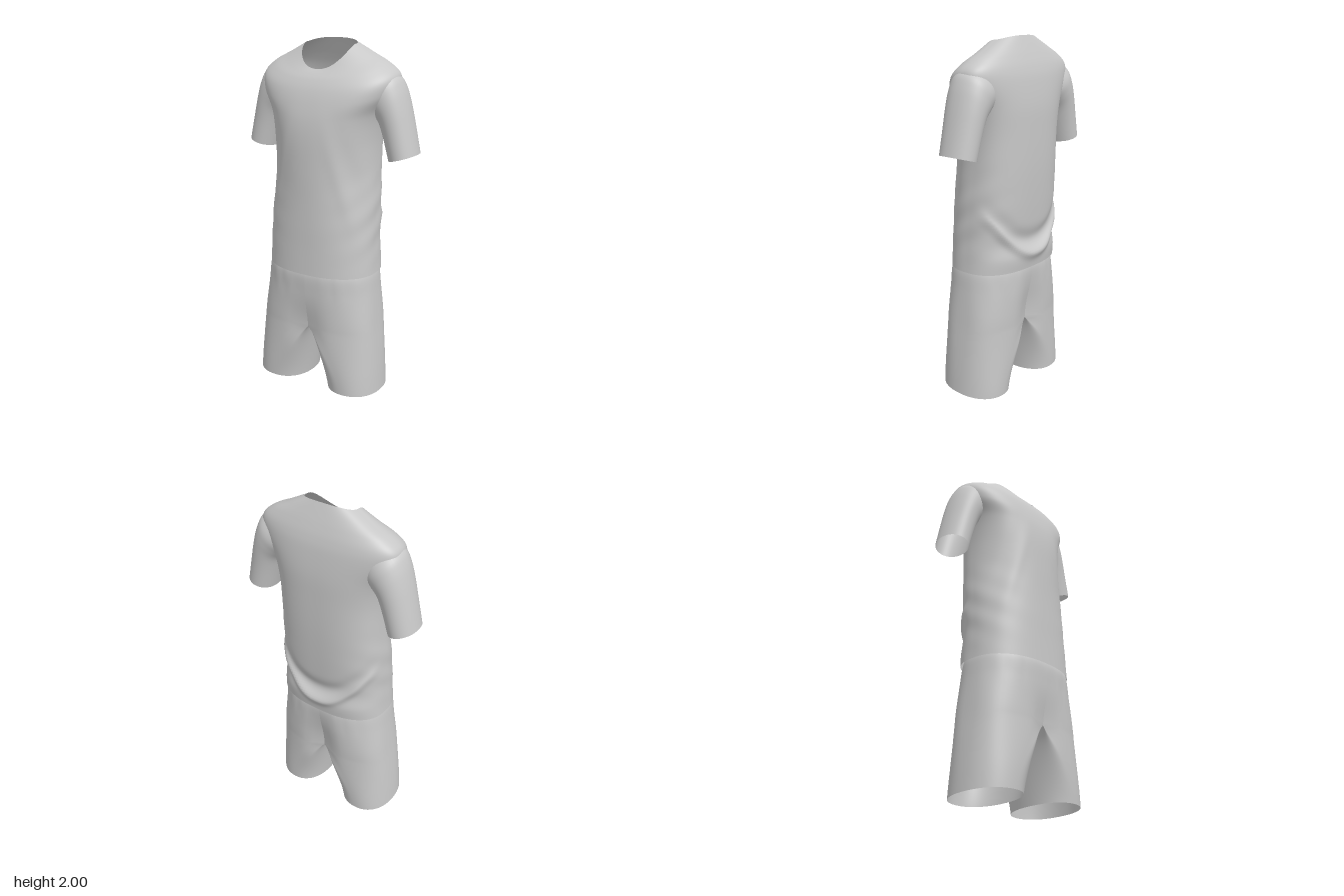
import * as THREE from 'three';

const cloth = new THREE.MeshStandardMaterial({ color: 0xc8c8c8, side: THREE.DoubleSide });
cloth.name = 'light grey cloth';

// Smoothly adds rows between the given cross-section rows
function resample(rows, sub) {
  const out = [];
  const at = (i) => rows[Math.min(Math.max(i, 0), rows.length - 1)];
  for (let i = 0; i < rows.length - 1; i++) {
    for (let s = 0; s < sub; s++) {
      const t = s / sub;
      out.push(rows[i].map((b, k) => {
        const a = at(i - 1)[k], c = at(i + 1)[k], d = at(i + 2)[k];
        return b + 0.5 * t * (c - a + t * (2 * a - 5 * b + 4 * c - d + t * (3 * (b - c) + d - a)));
      }));
    }
  }
  out.push(rows[rows.length - 1]);
  return out;
}

// Closed rings joined bottom to top; side = -1 mirrors the part in x
function loft(name, rows, segments, point, side = 1, skip = () => false) {
  const pos = [], index = [];
  for (const row of rows) {
    for (let j = 0; j < segments; j++) {
      const p = point(row, (j / segments) * Math.PI * 2);
      pos.push(p[0] * side, p[1], p[2]);
    }
  }
  for (let i = 0; i < rows.length - 1; i++) {
    for (let j = 0; j < segments; j++) {
      if (skip(i, j)) continue;
      const k = (j + 1) % segments;
      const a = i * segments + j, b = i * segments + k, c = a + segments, d = b + segments;
      if (side > 0) index.push(a, c, b, b, c, d);
      else index.push(a, b, c, b, d, c);
    }
  }
  const g = new THREE.BufferGeometry();
  g.setAttribute('position', new THREE.Float32BufferAttribute(pos, 3));
  g.setIndex(index);
  g.computeVertexNormals();
  const mesh = new THREE.Mesh(g, cloth);
  mesh.name = name;
  return mesh;
}

const pow = (v, n) => Math.sign(v) * Math.pow(Math.abs(v), 2 / n);
const bell = (d, w) => Math.exp(-(d * d) / (w * w));

// Shirt body: side x, side y, front z, front y, back z, back y, centre z
const bodyRows = [
  [0.33, 0.735, 0.245, 0.735, -0.215, 0.735, 0.01],
  [0.325, 0.81, 0.243, 0.81, -0.222, 0.81, 0.01],
  [0.32, 0.9, 0.241, 0.9, -0.208, 0.9, 0.01],
  [0.317, 1.0, 0.24, 1.0, -0.218, 1.0, 0],
  [0.312, 1.15, 0.238, 1.15, -0.228, 1.15, -0.01],
  [0.302, 1.32, 0.238, 1.32, -0.235, 1.32, -0.03],
  [0.304, 1.5, 0.235, 1.48, -0.236, 1.5, -0.045],
  [0.33, 1.64, 0.224, 1.59, -0.233, 1.64, -0.06],
  [0.39, 1.745, 0.203, 1.68, -0.218, 1.77, -0.07],
  [0.4, 1.825, 0.178, 1.75, -0.202, 1.84, -0.072],
  [0.342, 1.88, 0.15, 1.8, -0.18, 1.9, -0.07],
  [0.25, 1.926, 0.125, 1.83, -0.156, 1.955, -0.062],
  [0.15, 1.978, 0.1, 1.853, -0.135, 2.0, -0.05],
];

function bodyPoint([hw, ys, zf, yf, zb, yb, zc], a) {
  const c = Math.cos(a), s = Math.sin(a);
  const y = ys + ((s > 0 ? yf : yb) - ys) * Math.pow(Math.abs(s), 1.4);
  const n = s > 0 ? 2.3 - 0.25 * bell(ys - 1.25, 0.25) : 2.55;
  let x = hw * pow(c, n);
  let z = zc + (s > 0 ? zf - zc : zc - zb) * pow(s, n);
  if (s < 0) {
    // drooping fold across the lower back
    const d = y - (0.82 + 2.6 * x * x);
    const fade = bell(y - 0.87, 0.25) * Math.min(1, -s * 2.5);
    z -= (0.022 * bell(d, 0.032) - 0.012 * bell(d - 0.08, 0.045)) * fade;
  } else {
    // diagonal folds from the chest to the hips
    const d = Math.abs(x) - (0.13 + (1.5 - y) * 0.28);
    const fade = bell(y - 1.2, 0.25) * s;
    z += (0.008 * bell(d, 0.035) - 0.014 * bell(d - 0.07, 0.04)) * fade;
  }
  // soft creases at the waist sides
  x += 0.002 * Math.sin(y * 40 + z * 24) * c * bell(y - 1.05, 0.2);
  return [x, y, z];
}

// Sleeve: outer x, outer y, inner x, inner y, front z, back z
const sleeveRows = [
  [0.525, 1.422, 0.37, 1.377, 0.045, -0.172],
  [0.492, 1.565, 0.338, 1.49, 0.048, -0.178],
  [0.463, 1.68, 0.31, 1.57, 0.054, -0.185],
  [0.434, 1.768, 0.275, 1.61, 0.06, -0.19],
  [0.399, 1.824, 0.235, 1.64, 0.062, -0.188],
  [0.325, 1.86, 0.2, 1.68, 0.05, -0.165],
];

function sleevePoint([ox, oy, ix, iy, zf, zb], a) {
  const c = Math.cos(a), s = Math.sin(a);
  return [
    (ox + ix) / 2 + c * (ox - ix) / 2,
    (oy + iy) / 2 + c * (oy - iy) / 2,
    (zf + zb) / 2 + pow(s, 2.2) * (zf - zb) / 2,
  ];
}

// Shorts leg: front y, back y, outer x, front z, back z
const CROTCH = 0.4;
const legRows = [
  [0.024, 0.0, 0.388, 0.222, -0.175],
  [0.14, 0.13, 0.381, 0.227, -0.181],
  [0.27, 0.27, 0.37, 0.231, -0.189],
  [CROTCH, CROTCH, 0.357, 0.234, -0.198],
  [0.5, 0.5, 0.348, 0.236, -0.205],
  [0.62, 0.62, 0.337, 0.24, -0.212],
  [0.72, 0.72, 0.328, 0.241, -0.211],
  [0.78, 0.78, 0.312, 0.225, -0.195],
];

function leg(name, side) {
  const sub = 8, segments = 64, top = 3 * sub;
  const rows = resample(legRows, sub);
  const widen = side < 0 ? 1.04 : 0.995;
  const point = ([yf, yb, outer, zf, zb], a) => {
    const c = Math.cos(a), s = Math.sin(a);
    const y = (yf + yb) / 2 + s * (yf - yb) / 2;
    // below the crotch the section narrows to a separate tube
    const h = Math.min(1, y / CROTCH);
    const seam = 0.225 * (1 - Math.pow(h, 1.6));
    const inner = 0.075 * Math.pow(1 - h, 0.7);
    const n = h < 1 ? 2.2 + 3.6 * (outer - seam - 0.163) : 2.3 + 0.6 * bell(y - CROTCH, 0.2);
    const stretch = 1 + (widen - 1) * Math.max(0, 1 - y / 0.7);
    const x = (seam + pow(c, n) * (c > 0 ? outer - seam : Math.max(0, seam - inner))) * stretch;
    let z = (zf + zb) / 2 + pow(s, n) * (zf - zb) / 2;
    // seat groove and crotch crease
    if (s < 0) z += 0.045 * bell(x, 0.075) * bell(y - 0.43, 0.22) * -s;
    else z -= 0.03 * bell(x, 0.08) * bell(y - 0.37, 0.15) * s;
    // gathers under the waist
    z += 0.003 * Math.sin(x * 70) * s * bell(y - 0.68, 0.08);
    return [x, y, z];
  };
  const skip = (i, j) => i >= top && j >= segments / 4 && j < segments * 3 / 4;
  return loft(name, rows, segments, point, side, skip);
}

export function createModel() {
  const model = new THREE.Group();
  model.name = 'sportsOutfit';

  const shirt = new THREE.Group();
  shirt.name = 'shirt';
  shirt.add(loft('shirtBody', resample(bodyRows, 8), 128, bodyPoint));
  const sleeve = resample(sleeveRows, 5);
  shirt.add(loft('leftSleeve', sleeve, 48, sleevePoint, 1));
  shirt.add(loft('rightSleeve', sleeve, 48, sleevePoint, -1));

  const shorts = new THREE.Group();
  shorts.name = 'shorts';
  shorts.add(leg('leftLeg', 1), leg('rightLeg', -1));

  model.add(shirt, shorts);
  return model;
}
